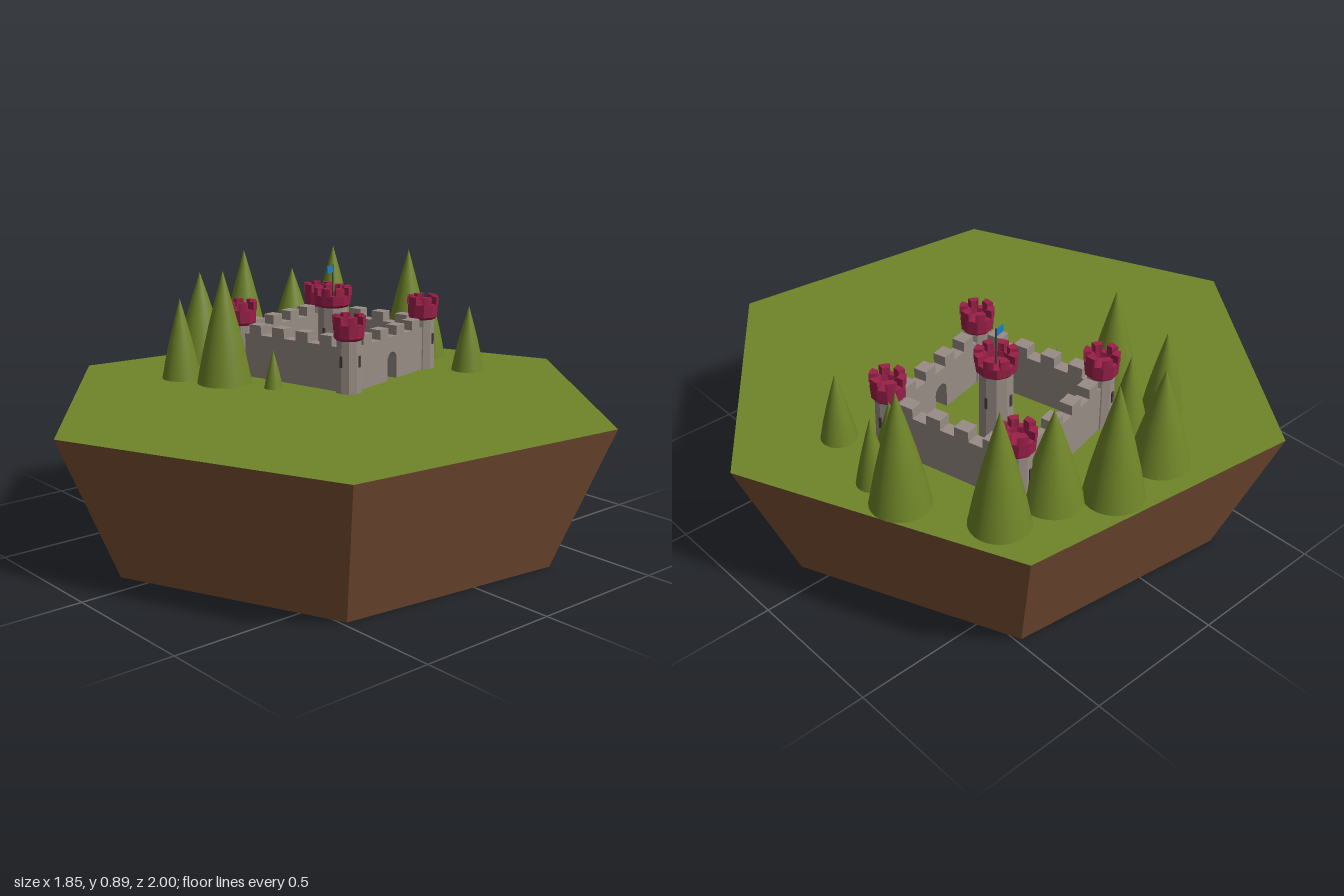
import * as THREE from 'three';

const paint = (color, flatShading = false, side = THREE.FrontSide) => {
  const m = new THREE.MeshStandardMaterial({ color, flatShading, side });
  return m;
};
const GROUND = 0.493;

export function createModel() {
  const root = new THREE.Group();
  const soil = paint(0x7a5035, true), grass = paint(0x6f8428, true), leaf = paint(0x6f8428);
  const stone = paint(0x988c85, true), red = paint(0x9c2049, true);
  const dark = paint(0x4a433f, true), blue = paint(0x1a80c0, true, THREE.DoubleSide);

  const add = (parent, name, geometry, material, x = 0, y = 0, z = 0) => {
    const mesh = new THREE.Mesh(geometry, material);
    mesh.name = name;
    mesh.position.set(x, y, z);
    parent.add(mesh);
    return mesh;
  };

  // hexagonal island: tapered soil block with a grass face on top
  const island = new THREE.Group();
  island.name = 'island';
  island.rotation.y = -0.12;
  root.add(island);
  const block = add(island, 'soil', new THREE.CylinderGeometry(1.007, 0.805, GROUND, 6), [soil, grass, soil]);
  block.position.y = GROUND / 2;

  // trees: slightly bulging cones, [x, z, radius, height]
  const trees = [
    [-0.34, -0.70, 0.097, 0.402], [-0.21, -0.70, 0.055, 0.24], [-0.18, -0.605, 0.06, 0.24],
    [0.045, -0.64, 0.06, 0.24], [-0.61, -0.545, 0.097, 0.402], [-0.635, -0.355, 0.098, 0.33],
    [-0.745, -0.205, 0.098, 0.402], [-0.725, 0.02, 0.098, 0.34], [-0.555, 0.055, 0.07, 0.29],
    [-0.38, 0.165, 0.098, 0.402], [-0.54, 0.24, 0.07, 0.29], [-0.2, 0.085, 0.033, 0.135],
  ];
  const treeProfile = [[0, 0], [1, 0], [1, 0], [0.8, 0.25], [0.56, 0.5], [0.29, 0.75], [0, 1]];
  for (const [x, z, r, h] of trees) {
    const points = treeProfile.map(([a, b]) => new THREE.Vector2(a * r, b * h));
    add(root, 'tree', new THREE.LatheGeometry(points.slice(2), 28), leaf, x, GROUND, z);
  }

  // castle, turned on the island
  const castle = new THREE.Group();
  castle.name = 'castle';
  castle.position.set(-0.275, GROUND, -0.255);
  castle.rotation.y = 0.236;
  root.add(castle);
  const half = 0.239;

  // crenellated curtain wall, optionally with an arched gateway
  const wallGeometry = (gate) => {
    const L = 0.21, low = 0.158, high = 0.193, cell = 0.052, thick = 0.046;
    const s = new THREE.Shape();
    s.moveTo(-L, 0);
    if (gate) {
      s.lineTo(-0.03, 0);
      s.lineTo(-0.03, 0.072);
      s.absarc(0, 0.072, 0.03, Math.PI, 0, true);
      s.lineTo(0.03, 0);
    }
    s.lineTo(L, 0);
    s.lineTo(L, low);
    for (let i = 0; i < 4; i++) {
      const x = (3.5 - 2 * i) * cell - cell / 2 + cell / 2;
      s.lineTo(x, low);
      s.lineTo(x, high);
      s.lineTo(x - cell, high);
      s.lineTo(x - cell, low);
    }
    s.lineTo(-L, low);
    return new THREE.ExtrudeGeometry(s, { depth: thick, bevelEnabled: false, curveSegments: 6 })
      .translate(0, 0, -thick / 2);
  };
  for (let i = 0; i < 4; i++) {
    const a = i * Math.PI / 2;
    const wall = add(castle, i === 1 ? 'gateWall' : 'wall', wallGeometry(i === 1), stone,
      Math.sin(a) * half, 0, Math.cos(a) * half);
    wall.rotation.y = a;
  }

  // tower: stone shaft, flared red crown with a sunken floor, ring of merlons
  const tower = (name, x, z, r, R, shaft, top, merlons) => {
    const g = new THREE.Group();
    g.name = name;
    g.position.set(x, 0, z);
    castle.add(g);
    add(g, 'shaft', new THREE.CylinderGeometry(r * 0.95, r, shaft + 0.01, 10), stone, 0, (shaft + 0.01) / 2, 0);
    const rim = top - 0.028, inner = R * 0.62;
    const profile = [[r * 0.9, shaft], [R * 0.94, shaft + 0.012], [R, rim], [inner, rim], [inner, rim - 0.02], [0, rim - 0.02]];
    add(g, 'crown', new THREE.LatheGeometry(profile.map(p => new THREE.Vector2(...p)), 10), red);
    const step = 2 * Math.PI / merlons;
    for (let i = 0; i < merlons; i++) {
      const a = i * step, b = a + step * 0.6;
      const s = new THREE.Shape();
      s.absarc(0, 0, R, a, b, false);
      s.absarc(0, 0, inner, b, a, true);
      s.closePath();
      const geo = new THREE.ExtrudeGeometry(s, { depth: 0.03, bevelEnabled: false, curveSegments: 2 });
      add(g, 'merlon', geo.rotateX(-Math.PI / 2), red, 0, rim - 0.002, 0);
    }
    // narrow window slits
    for (let i = 0; i < 4; i++) {
      const a = i * Math.PI / 2;
      const slit = add(g, 'windowSlit', new THREE.BoxGeometry(0.01, 0.04, 0.006), dark,
        Math.sin(a) * r * 0.95, shaft * 0.62, Math.cos(a) * r * 0.95);
      slit.rotation.y = a;
    }
  };
  for (const sx of [-1, 1]) for (const sz of [-1, 1])
    tower('cornerTower', sx * half, sz * half, 0.047, 0.058, 0.182, 0.27, 6);
  tower('keep', 0, 0, 0.058, 0.07, 0.238, 0.313, 8);

  // flag on the keep
  add(castle, 'flagPole', new THREE.CylinderGeometry(0.003, 0.003, 0.13, 6), dark, 0, 0.328, 0);
  add(castle, 'flag', new THREE.BoxGeometry(0.003, 0.026, 0.036), blue, 0, 0.378, 0.019);

  return root;
}
